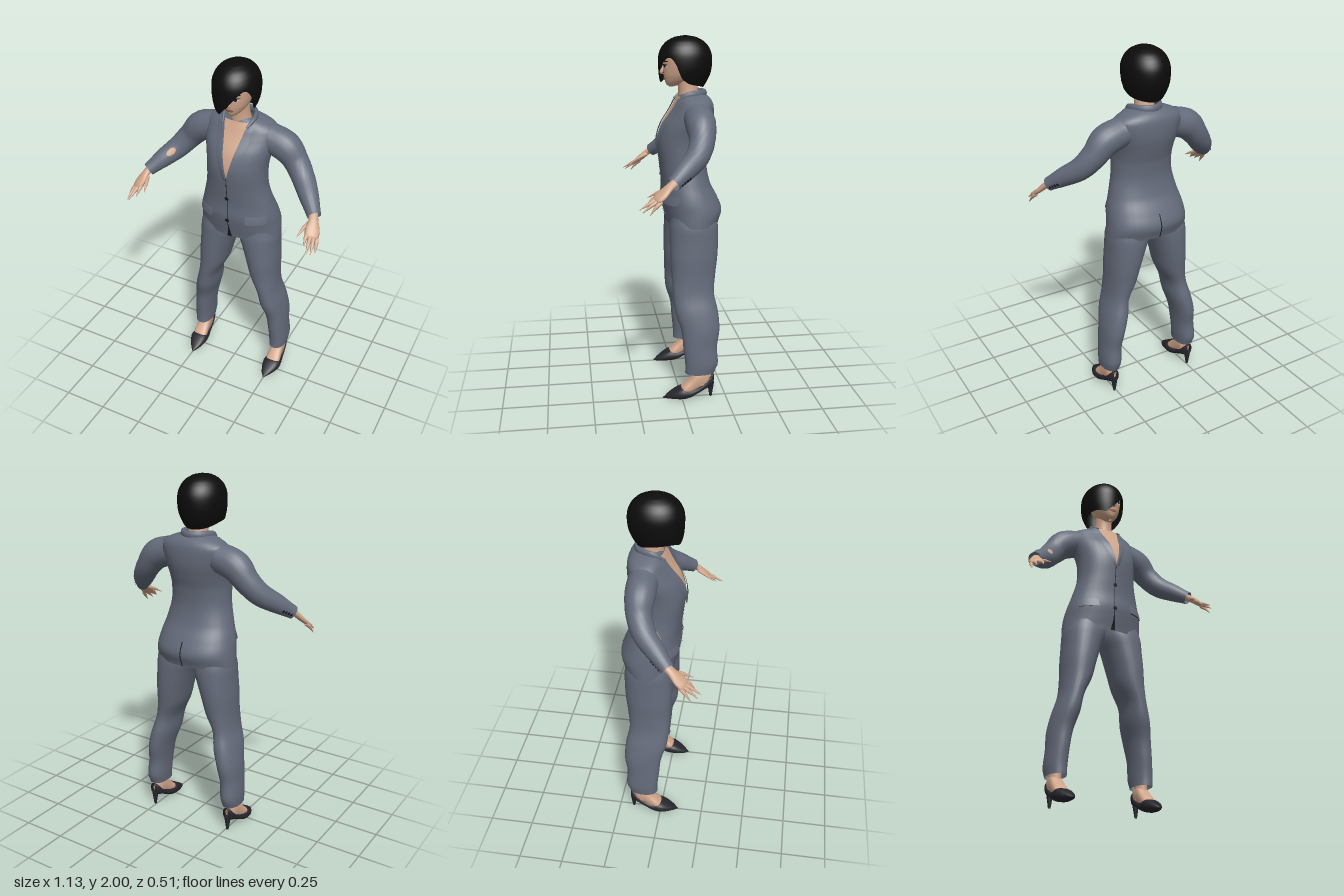
import * as THREE from 'three';

const mat = (name, color) => {
  const m = new THREE.MeshStandardMaterial({ color, side: THREE.DoubleSide });
  m.name = name;
  return m;
};
const V = (x, y, z) => new THREE.Vector3(x, y, z);

// Smooth surface over a grid; fn(u, v) returns a point, wrap closes it in v
function grid(fn, nu, nv, wrap = false) {
  const pos = [], idx = [], cols = wrap ? nv : nv + 1;
  for (let i = 0; i <= nu; i++)
    for (let j = 0; j < cols; j++) pos.push(...fn(i / nu, j / nv).toArray());
  for (let i = 0; i < nu; i++)
    for (let j = 0; j < nv; j++) {
      const k = (j + 1) % cols, a = i * cols + j, b = i * cols + k;
      idx.push(a, b, b + cols, a, b + cols, a + cols);
    }
  const g = new THREE.BufferGeometry();
  g.setAttribute('position', new THREE.Float32BufferAttribute(pos, 3));
  g.setIndex(idx);
  g.computeVertexNormals();
  return g;
}

// Catmull-Rom lookup in rows keyed by their first number
function section(rows, key) {
  let i = 0;
  while (i < rows.length - 2 && key > rows[i + 1][0]) i++;
  const t = THREE.MathUtils.clamp((key - rows[i][0]) / (rows[i + 1][0] - rows[i][0]), 0, 1);
  const p = rows[Math.max(i - 1, 0)], a = rows[i], b = rows[i + 1], q = rows[Math.min(i + 2, rows.length - 1)];
  return a.map((_, k) => 0.5 * (2 * a[k] + (b[k] - p[k]) * t
    + (2 * p[k] - 5 * a[k] + 4 * b[k] - q[k]) * t * t + (3 * a[k] - p[k] - 3 * b[k] + q[k]) * t ** 3));
}
const power = (v, n) => Math.sign(v) * Math.abs(v) ** (2 / n);

// Upright body from rows [y, centre x, half width, front z, back z]
function body(rows, side = 1, n = 2.2, nu = 40) {
  const y0 = rows[0][0], y1 = rows.at(-1)[0];
  return grid((u, v) => {
    const y = y0 + (y1 - y0) * u, [, cx, rx, zf, zb] = section(rows, y), a = v * Math.PI * 2;
    return V(side * cx + rx * power(Math.sin(a), n), y, (zf + zb) / 2 + (zf - zb) / 2 * power(Math.cos(a), n));
  }, nu, 32, true);
}
// Point on the front (or back) of such a body
function onBody(rows, x, y, off = 0, face = 1, n = 2.2) {
  const [, cx, rx, zf, zb] = section(rows, y), t = Math.min(Math.abs((x - cx) / rx), 1);
  return V(x, y, (zf + zb) / 2 + face * ((zf - zb) / 2 * (1 - t ** n) ** (1 / n) + off));
}
// Body along z from rows [z, centre x, half width, bottom y, top y]
const lengthwise = (rows, side) => grid((u, v) => {
  const z = rows[0][0] + (rows.at(-1)[0] - rows[0][0]) * u, [, cx, w, yb, yt] = section(rows, z), a = v * Math.PI * 2;
  return V(side * cx + w * power(Math.cos(a), 2.5), (yb + yt) / 2 + (yt - yb) / 2 * power(Math.sin(a), 2.5), z);
}, 24, 20, true);

// Point on a tube along pts with radii [across up, sideways]
function tubePoint(curve, radii, up, u, a, off = 0) {
  const T = curve.getTangent(u);
  const N = up.clone().addScaledVector(T, -up.dot(T)).normalize();
  const B = T.clone().cross(N);
  const [, rn, rb] = section(radii.map((r, i) => [i / (radii.length - 1), ...r]), u);
  return curve.getPoint(u).addScaledVector(N, Math.cos(a) * (rn + off)).addScaledVector(B, Math.sin(a) * (rb + off));
}
function tube(pts, radii, up = V(0, 1, 0), nu = 12, nv = 12) {
  const c = new THREE.CatmullRomCurve3(pts);
  return grid((u, v) => tubePoint(c, radii, up, u, v * Math.PI * 2), nu, nv, true);
}

const TORSO = [
  [0.98, 0, 0.238, 0.055, -0.235], [1.05, 0, 0.232, 0.07, -0.255], [1.12, 0, 0.222, 0.082, -0.23],
  [1.2, 0, 0.2, 0.08, -0.19], [1.3, 0, 0.175, 0.09, -0.17], [1.4, 0, 0.17, 0.1, -0.175],
  [1.46, 0, 0.175, 0.095, -0.19], [1.53, 0, 0.19, 0.07, -0.205], [1.6, 0, 0.2, 0.025, -0.207],
  [1.645, 0, 0.19, 0, -0.2], [1.675, 0, 0.13, -0.015, -0.18], [1.69, 0, 0.07, -0.025, -0.15]];
const LEG = [
  [0.15, 0.257, 0.05, -0.02, -0.185], [0.2, 0.257, 0.055, -0.02, -0.205], [0.3, 0.25, 0.055, -0.01, -0.2],
  [0.4, 0.238, 0.06, 0, -0.215], [0.5, 0.215, 0.065, 0.03, -0.21], [0.6, 0.193, 0.06, 0.04, -0.19],
  [0.7, 0.165, 0.079, 0.045, -0.2], [0.8, 0.15, 0.092, 0.05, -0.213], [0.9, 0.132, 0.105, 0.05, -0.22],
  [0.98, 0.116, 0.118, 0.048, -0.22], [1.03, 0.11, 0.11, 0.04, -0.21]];
const HEAD = [
  [1.728, 0, 0.008, 0.035, 0.01], [1.738, 0, 0.028, 0.05, -0.03], [1.76, 0, 0.05, 0.058, -0.08],
  [1.79, 0, 0.068, 0.065, -0.12], [1.84, 0, 0.082, 0.068, -0.15], [1.89, 0, 0.085, 0.068, -0.16],
  [1.94, 0, 0.065, 0.03, -0.13], [1.965, 0, 0.02, -0.02, -0.08]];
const NECK = [[1.58, 0, 0.07, -0.02, -0.14], [1.66, 0, 0.058, -0.015, -0.135], [1.72, 0, 0.05, -0.015, -0.12], [1.79, 0, 0.05, 0, -0.12]];
const SHOE = [
  [-0.182, 0.258, 0.01, 0.085, 0.138], [-0.172, 0.258, 0.028, 0.065, 0.14], [-0.13, 0.258, 0.038, 0.05, 0.1],
  [-0.08, 0.258, 0.043, 0.025, 0.068], [-0.04, 0.258, 0.05, 0.006, 0.062], [0, 0.258, 0.053, 0, 0.068],
  [0.04, 0.255, 0.043, 0, 0.05], [0.08, 0.251, 0.022, 0, 0.025], [0.105, 0.25, 0.002, 0, 0.006]];
const FOOT = [
  [-0.165, 0.258, 0.015, 0.09, 0.15], [-0.14, 0.258, 0.033, 0.07, 0.17], [-0.09, 0.258, 0.037, 0.05, 0.16],
  [-0.05, 0.258, 0.04, 0.03, 0.115], [-0.01, 0.258, 0.042, 0.02, 0.08], [0.03, 0.256, 0.02, 0.02, 0.045]];
const SLEEVE = [[0.15, 1.58, -0.1], [0.25, 1.545, -0.1], [0.315, 1.475, -0.095], [0.375, 1.405, -0.06], [0.44, 1.347, 0.01], [0.5, 1.292, 0.08]];
const SLEEVE_R = [[0.08, 0.08], [0.083, 0.08], [0.069, 0.068], [0.062, 0.062], [0.052, 0.052], [0.037, 0.037]];

export function createModel() {
  const root = new THREE.Group();
  root.name = 'womanInSuit';
  const suit = mat('suitGrey', 0x646b7a), skin = mat('skin', 0xcfa58a), hair = mat('hairBlack', 0x0c0c0d);
  const shoe = mat('shoeBlack', 0x26262d), dark = mat('buttonDark', 0x17171b), lip = mat('lipRose', 0x9a5f52), white = mat('eyeWhite', 0xd8d4d0);
  const add = (name, geo, m, parent = root) => {
    const mesh = new THREE.Mesh(geo, m);
    mesh.name = name;
    parent.add(mesh);
    return mesh;
  };
  // Thin plate following a body's front or back between two x edges
  const plate = (name, rows, y0, y1, xa, xb, off, m, face = 1, nu = 16, nv = 8) =>
    add(name, grid((u, v) => {
      const y = y0 + (y1 - y0) * u;
      return onBody(rows, xa(u) + (xb(u) - xa(u)) * v, y, typeof off === 'function' ? off(u, v) : off, face);
    }, nu, nv), m);
  // Thin oval following a body's front
  const oval = (name, rows, x, y, w, h, off, m) => add(name, grid((u, v) => {
    const a = v * Math.PI * 2;
    return onBody(rows, x + w * u * Math.cos(a), y + h * u * Math.sin(a), off);
  }, 3, 16, true), m);

  // Jacket, open neckline and lapels
  add('jacket', body(TORSO, 1, 2.2, 56), suit);
  const neckline = u => 0.068 * u;
  plate('chest', TORSO, 1.385, 1.676, u => -neckline(u), neckline, 0.003, skin);
  for (const s of [1, -1]) {
    plate('lapel', TORSO, 1.36, 1.665, u => s * neckline(u), u => s * (neckline(u) + 0.05 * Math.sqrt(u) * (u > 0.8 ? 0.8 : 1)),
      (u, v) => 0.012 - 0.007 * v, suit);
    plate('pocketFlap', TORSO, 1.1, 1.15, () => s * 0.1, () => s * 0.2, (u, v) => 0.014 - 0.012 * u, suit, 1, 4);
    plate('pocketSeam', TORSO, 1.098, 1.104, () => s * 0.105, () => s * 0.195, 0.009, dark, 1, 2);
  }
  plate('frontSeam', TORSO, 0.98, 1.385, () => -0.005, () => -0.001, 0.002, dark, 1, 24, 1);
  plate('frontSplit', TORSO, 0.98, 1.07, u => -0.016 * (1 - u), u => 0.012 * (1 - u), 0.003, dark, 1, 6, 2);
  plate('backVent', TORSO, 0.98, 1.12, () => -0.003, () => 0.003, 0.002, dark, -1, 8, 1);
  for (const y of [1.25, 1.105]) oval('jacketButton', TORSO, -0.003, y, 0.012, 0.012, 0.007, dark);
  add('collar', tube([V(0.07, 1.655, 0.0), V(0.085, 1.685, -0.06), V(0.055, 1.69, -0.135), V(0, 1.69, -0.16),
    V(-0.055, 1.69, -0.135), V(-0.085, 1.685, -0.06), V(-0.07, 1.655, 0.0)],
  [[0.008, 0.006], [0.02, 0.012], [0.022, 0.013], [0.022, 0.013], [0.022, 0.013], [0.02, 0.012], [0.008, 0.006]], V(0, 1, 0), 28), suit);

  // Neck, head and face
  add('neck', body(NECK, 1, 2, 8), skin);
  add('head', body(HEAD, 1, 2, 28), skin);
  add('nose', tube([V(0, 1.855, 0.06), V(0, 1.825, 0.07), V(0, 1.803, 0.077), V(0, 1.795, 0.062)],
    [[0.004, 0.005], [0.007, 0.009], [0.009, 0.014], [0.001, 0.001]], V(0, 0, 1)), skin);
  oval('mouth', HEAD, 0, 1.771, 0.024, 0.007, 0.004, lip);
  for (const s of [1, -1]) {
    oval('eye', HEAD, s * 0.036, 1.838, 0.017, 0.008, 0.003, white);
    oval('iris', HEAD, s * 0.036, 1.838, 0.008, 0.008, 0.005, dark);
    oval('lashLine', HEAD, s * 0.037, 1.846, 0.02, 0.003, 0.006, dark);
    oval('eyebrow', HEAD, s * 0.037, 1.864, 0.022, 0.004, 0.004, dark);
  }

  // Bob haircut: a shell whose lower edge sweeps across the face
  const edge = [[0, 1.785], [20, 1.835], [36, 1.872], [50, 1.885], [64, 1.85], [76, 1.775], [95, 1.745], [135, 1.73],
    [180, 1.72], [230, 1.73], [280, 1.755], [315, 1.76], [340, 1.745], [350, 1.76], [360, 1.785]];
  const spread = [[1.7, 0.6], [1.75, 0.8], [1.8, 0.95], [1.85, 1], [1.9, 0.98], [1.94, 0.86], [1.97, 0.66], [1.99, 0.38], [2, 0]];
  add('hair', grid((u, v) => {
    const a = v * Math.PI * 2, y = 2 - (2 - section(edge, v * 360)[1]) * (1 - u) ** 2;
    let r = section(spread, y)[1];
    if (y < 1.85) r += (1 - r) * 0.7 * Math.max(0, Math.cos(a));
    return V(-0.015 + 0.125 * r * Math.sin(a), y, -0.055 + 0.147 * r * Math.cos(a));
  }, 24, 72, true), hair);

  for (const s of [1, -1]) {
    const side = s > 0 ? 'left' : 'right';
    // Sleeve with cuff buttons
    const pts = SLEEVE.map(([x, y, z]) => V(s * x, y, z)), up = V(0, 1, 0);
    const curve = new THREE.CatmullRomCurve3(pts);
    add(side + 'Sleeve', tube(pts, SLEEVE_R, up, 32, 20), suit);
    const spot = (name, u0, a0, du, da, off, m) => add(name, grid((u, v) => {
      const t = v * Math.PI * 2;
      return tubePoint(curve, SLEEVE_R, up, u0 + du * u * Math.cos(t), s * (a0 + da * u * Math.sin(t)), off);
    }, 4, 14, true), m);
    for (let i = 0; i < 4; i++) spot('cuffButton', 0.86 + i * 0.033, -1.9, 0.012, 0.18, 0.004, dark);
    if (s < 0) spot('tornPatch', 0.7, 0.95, 0.06, 0.3, 0.003, skin);

    // Hand: palm, four fingers and thumb
    const hand = new THREE.Group();
    hand.name = side + 'Hand';
    root.add(hand);
    const tilt = V(0.3 * s, 1, 0.2), P = (x, y, z) => V(s * x, y, z);
    add('palm', tube([P(0.485, 1.307, 0.06), P(0.505, 1.28, 0.1), P(0.516, 1.25, 0.135), P(0.525, 1.225, 0.165), P(0.528, 1.215, 0.178)],
      [[0.022, 0.026], [0.018, 0.026], [0.016, 0.038], [0.013, 0.036], [0.004, 0.02]], tilt), skin, hand);
    const fingers = [
      [[0.497, 1.238, 0.155], [0.5, 1.222, 0.185], [0.503, 1.19, 0.218]],
      [[0.515, 1.23, 0.16], [0.524, 1.208, 0.2], [0.532, 1.178, 0.253]],
      [[0.532, 1.222, 0.158], [0.543, 1.2, 0.195], [0.551, 1.166, 0.24]],
      [[0.545, 1.218, 0.145], [0.556, 1.195, 0.172], [0.564, 1.156, 0.205]],
      [[0.488, 1.268, 0.11], [0.472, 1.25, 0.155], [0.457, 1.222, 0.205]]];
    fingers.forEach((f, i) => add(i < 4 ? 'finger' : 'thumb',
      tube(f.map(p => P(...p)), [[0.01, 0.011], [0.009, 0.01], [0.002, 0.002]], tilt, 8, 8), skin, hand));

    // Trouser leg, foot and high-heeled shoe
    add(side + 'TrouserLeg', body(LEG, s, 2.2, 44), suit);
    add(side + 'Foot', lengthwise(FOOT, s), skin);
    add(side + 'Ankle', body([[0.08, 0.258, 0.034, -0.06, -0.16], [0.15, 0.258, 0.033, -0.065, -0.155], [0.24, 0.258, 0.038, -0.06, -0.16]], s, 2, 8), skin);
    add(side + 'Shoe', lengthwise(SHOE, s), shoe);
    add(side + 'Heel', new THREE.CylinderGeometry(0.02, 0.007, 0.085, 12), shoe).position.set(s * 0.258, 0.0425, -0.166);
  }
  return root;
}
